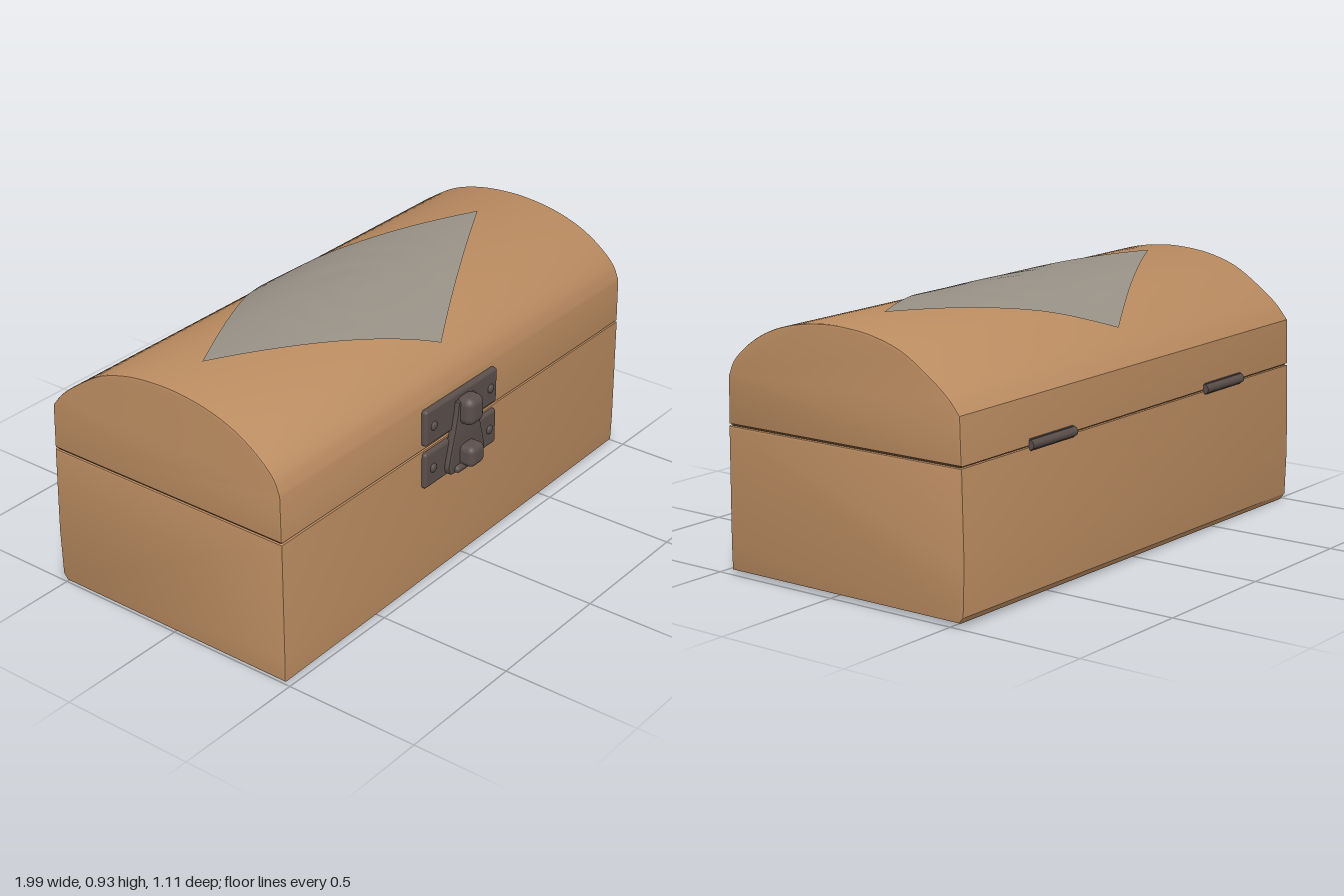
import * as THREE from 'three';
import { toCreasedNormals } from 'three/addons/utils/BufferGeometryUtils.js';
import { RoundedBoxGeometry } from 'three/addons/geometries/RoundedBoxGeometry.js';

const material = (name, color) => Object.assign(new THREE.MeshStandardMaterial({ color }), { name });

export function createModel() {
  const wood = material('wood', 0xba8b60);
  const iron = material('iron', 0x5a4e4a);
  const silver = material('silver', 0x979085);
  silver.side = THREE.DoubleSide;
  const seamBrown = material('seamBrown', 0x4a3521);
  const chest = new THREE.Group();
  chest.name = 'chest';

  // Slight handmade skew: the right end sits a little further back and its lid lower
  const skew = (geo) => {
    const p = geo.attributes.position;
    for (let i = 0; i < p.count; i++) {
      const x = p.getX(i), y = p.getY(i);
      p.setY(i, y + x * (0.007 - 0.018 * y / 0.92));
      p.setZ(i, p.getZ(i) - 0.012 * x);
    }
    return geo;
  };
  const add = (name, geo, mat, parent = chest) => {
    const m = new THREE.Mesh(geo, mat);
    m.name = name;
    parent.add(m);
    return m;
  };
  const finish = (geo) => toCreasedNormals(skew(geo), 0.5);

  // Extrudes a [z, y] outline along the full length, with softened ends
  const alongX = (points, bevel = 0.012, half = 0.993) => {
    const shape = new THREE.Shape(points.map(([z, y]) => new THREE.Vector2(-z, y)));
    const geo = new THREE.ExtrudeGeometry(shape, {
      depth: 2 * (half - bevel), bevelEnabled: true, bevelSize: bevel,
      bevelOffset: -bevel, bevelThickness: bevel, bevelSegments: 2,
    });
    geo.translate(0, 0, -(half - bevel)).rotateY(Math.PI / 2);
    return finish(geo);
  };

  // Barrel top, front to back
  const arch = new THREE.CatmullRomCurve3([
    [0.455, 0.69], [0.43, 0.745], [0.36, 0.81], [0.27, 0.862], [0.16, 0.897], [0.04, 0.914], [-0.05, 0.915],
    [-0.17, 0.902], [-0.29, 0.866], [-0.39, 0.806], [-0.48, 0.737], [-0.525, 0.685],
  ].map(([z, y]) => new THREE.Vector3(0, y, z))).getPoints(44);
  const archY = (z) => {
    let i = 1;
    while (i < arch.length - 1 && arch[i].z > z) i++;
    const a = arch[i - 1], b = arch[i];
    return a.y + (b.y - a.y) * (z - a.z) / (b.z - a.z);
  };

  add('base', alongX([
    [0.462, 0.007], [0.464, 0.1], [0.46, 0.517], [-0.532, 0.517],
    [-0.54, 0.2], [-0.535, 0.03], [-0.518, 0.007],
  ], 0.008), wood);
  add('lid', alongX([[0.458, 0.523], ...arch.map((p) => [p.z, p.y]), [-0.53, 0.523]], 0.006), wood);
  add('seam', finish(new THREE.BoxGeometry(1.97, 0.03, 0.97).translate(0, 0.52, -0.036)), seamBrown);

  // Embossed diamond sheet hugging the barrel top
  const sheet = new THREE.PlaneGeometry(1, 1, 60, 48);
  const p = sheet.attributes.position;
  for (let i = 0; i < p.count; i++) {
    const u = p.getX(i) * 2, v = p.getY(i) * 2;
    const w = 1 - Math.abs(v);
    const x = -0.022 + 0.775 * u * w;
    const z = -0.025 - 0.395 * v;
    const fade = w * (1 - Math.abs(u));
    const relief = 0.003 * fade * Math.sin(24 * Math.hypot(x + 0.02, z * 1.5)) * Math.cos(14 * x);
    p.setXYZ(i, x, archY(z) + 0.007 + relief, z);
  }
  skew(sheet).computeVertexNormals();
  add('diamondInlay', sheet, silver);

  // Front lock: two plates, a tapered hasp and two knobs
  const lock = new THREE.Group();
  lock.name = 'lock';
  chest.add(lock);
  const block = (name, x, y, z, w, h, d, r) =>
    add(name, skew(new RoundedBoxGeometry(w, h, d, 3, r).translate(x, y, z)), iron, lock);
  for (const [name, y, h] of [['upperPlate', 0.605, 0.135], ['lowerPlate', 0.443, 0.135]]) {
    block(name, -0.04, y, 0.463, 0.42, h, 0.028, 0.012);
    for (const x of [-0.205, 0.128]) {
      add('rivet', skew(new THREE.SphereGeometry(0.017, 12, 8).scale(1, 1, 0.5).translate(x, y, 0.477)), iron, lock);
    }
  }
  const hasp = new THREE.Shape();
  hasp.moveTo(-0.085, 0.645);
  hasp.lineTo(0.018, 0.645);
  hasp.bezierCurveTo(0.03, 0.55, 0.055, 0.5, 0.073, 0.42);
  hasp.quadraticCurveTo(0.075, 0.382, 0.045, 0.38);
  hasp.lineTo(-0.11, 0.38);
  hasp.quadraticCurveTo(-0.14, 0.382, -0.138, 0.42);
  hasp.bezierCurveTo(-0.12, 0.5, -0.095, 0.55, -0.085, 0.645);
  const haspGeo = new THREE.ExtrudeGeometry(hasp, {
    depth: 0.018, bevelSize: 0.006, bevelOffset: -0.006, bevelThickness: 0.006, bevelSegments: 2,
  }).translate(0, 0, 0.472);
  add('hasp', finish(haspGeo), iron, lock);
  block('upperKnob', -0.034, 0.607, 0.503, 0.09, 0.105, 0.075, 0.03);
  block('lowerKnob', -0.036, 0.438, 0.514, 0.082, 0.078, 0.07, 0.022);
  add('haspLip', skew(new THREE.CapsuleGeometry(0.014, 0.12, 4, 10).rotateZ(Math.PI / 2)
    .translate(-0.032, 0.394, 0.498)), iron, lock);

  // Back hinges
  for (const x of [-0.525, 0.52]) {
    const hinge = new THREE.Group();
    hinge.name = x > 0 ? 'leftHinge' : 'rightHinge';
    chest.add(hinge);
    add('hingeBarrel', finish(new THREE.CylinderGeometry(0.017, 0.017, 0.245, 14).rotateZ(Math.PI / 2)
      .translate(x, 0.525, -0.533)), iron, hinge);
    add('hingeLeaf', finish(new THREE.BoxGeometry(0.235, 0.04, 0.012).translate(x, 0.525, -0.53)), iron, hinge);
  }
  return chest;
}
